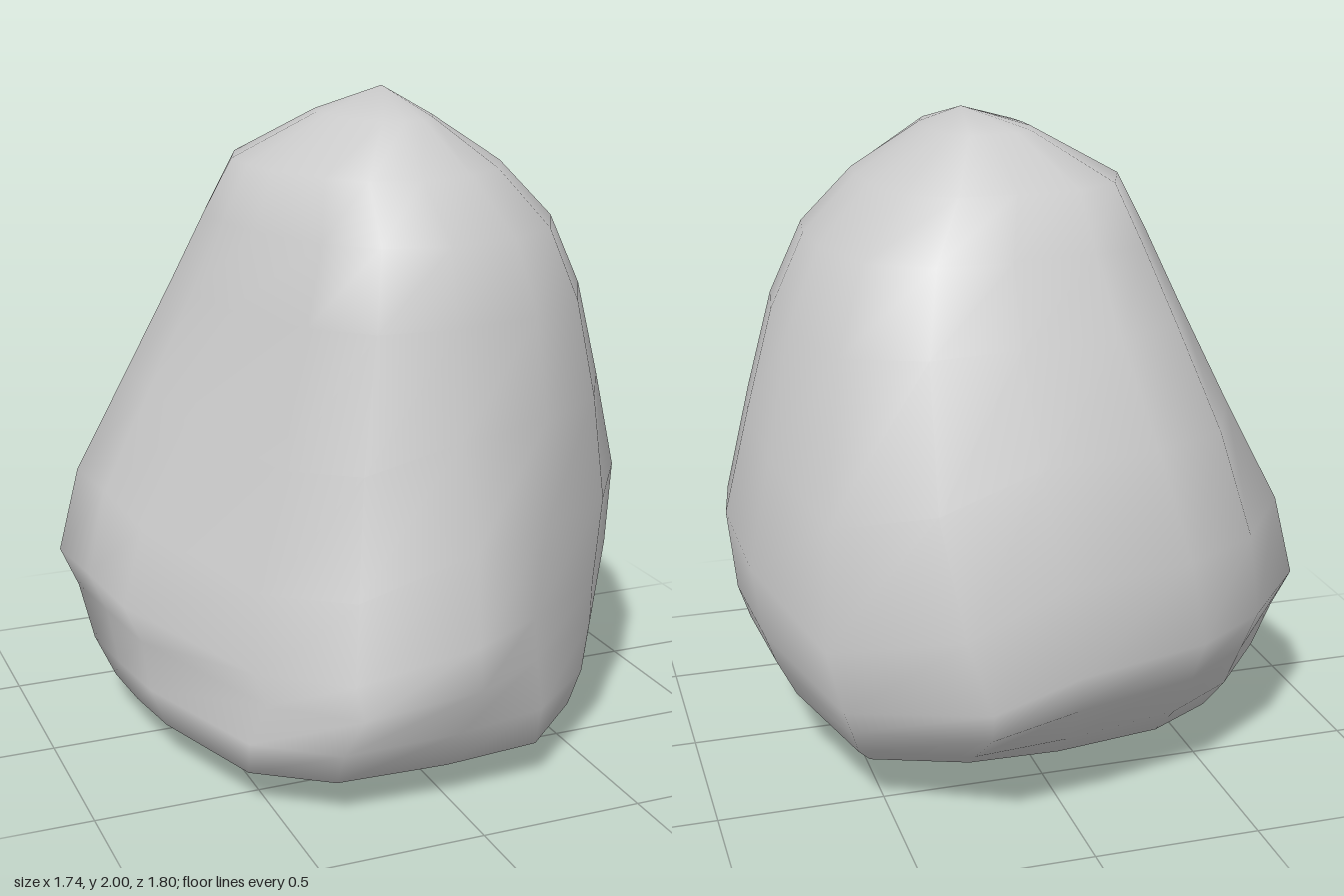
import * as THREE from 'three';

// Plan outlines, running from the back past +x to the front: [x, z]
const base = [[0.05, -0.9], [0.4, -0.89], [0.75, -0.76], [0.86, -0.3], [0.87, 0.02], [0.83, 0.3], [0.7, 0.63], [0.43, 0.88],
  [0.05, 0.9], [-0.38, 0.88], [-0.65, 0.68], [-0.81, 0.17], [-0.85, -0.1], [-0.87, -0.36], [-0.64, -0.65], [-0.37, -0.82]];
const broad = [[0.02, -0.9], [0.29, -0.9], [0.67, -0.65], [0.83, -0.23], [0.87, 0.02], [0.83, 0.25], [0.61, 0.56], [0.3, 0.76],
  [0.05, 0.9], [-0.31, 0.84], [-0.53, 0.6], [-0.79, 0.13], [-0.84, -0.1], [-0.87, -0.36], [-0.63, -0.64], [-0.39, -0.8]];
const upper = [[0.02, -0.9], [0.4, -0.9], [0.73, -0.74], [0.85, -0.3], [0.87, 0.0], [0.82, 0.3], [0.63, 0.63], [0.32, 0.84],
  [-0.06, 0.9], [-0.39, 0.82], [-0.6, 0.6], [-0.8, 0.2], [-0.86, -0.1], [-0.87, -0.38], [-0.72, -0.72], [-0.42, -0.86]];

// Sections from bottom to top: [y, xMin, xMax, zMin, zMax]
const sections = [
  [0.025, -0.55, 0.55, -0.43, 0.56],
  [0.13, -0.74, 0.64, -0.63, 0.77],
  [0.24, -0.79, 0.72, -0.74, 0.82],
  [0.40, -0.82, 0.80, -0.87, 0.905],
  [0.52, -0.87, 0.84, -0.90, 0.88],
  [0.78, -0.80, 0.87, -0.88, 0.82],
  [1.10, -0.64, 0.79, -0.77, 0.74],
  [1.40, -0.51, 0.70, -0.62, 0.68],
  [1.62, -0.42, 0.59, -0.50, 0.62],
  [1.79, -0.34, 0.43, -0.39, 0.49],
  [1.93, -0.09, 0.22, -0.19, 0.28],
];

function rockGeometry() {
  const { lerp, smoothstep, clamp } = THREE.MathUtils;
  const n = broad.length;
  const pos = [];
  const index = [];
  for (const [y, x0, x1, z0, z1] of sections) {
    const low = 1 - smoothstep(y, 0.1, 0.45);
    const high = smoothstep(y, 0.5, 1.3);
    const tilt = 0.025 * Math.max(0, 1 - y / 0.3);
    const sag = 0.35 * Math.sin(Math.PI * clamp((y - 0.18) / 1.25, 0, 1));
    for (let i = 0; i < n; i++) {
      const [u, v] = [0, 1].map((k) =>
        lerp(lerp(broad[i][k], base[i][k], low), upper[i][k], high) / (k ? 0.9 : 0.87));
      // The underside leans slightly, and two opposite corners bulge lower down
      const shift = tilt * clamp(u - v, -1, 1) - sag * Math.max(0, -u * v);
      pos.push((x0 + x1) / 2 + u * (x1 - x0) / 2, y + shift, (z0 + z1) / 2 + v * (z1 - z0) / 2);
    }
  }
  const rings = sections.length;
  const top = rings * n;
  const bottom = top + 1;
  pos.push(0.13, 2, -0.07, -0.03, 0.015, 0.1);
  for (let i = 0; i < n; i++) {
    const j = (i + 1) % n;
    for (let r = 0; r < rings - 1; r++) {
      const a = r * n + i, b = r * n + j;
      index.push(a, a + n, b, b, a + n, b + n);
    }
    index.push((rings - 1) * n + i, top, (rings - 1) * n + j);
    index.push(i, j, bottom);
  }
  const geometry = new THREE.BufferGeometry();
  geometry.setAttribute('position', new THREE.Float32BufferAttribute(pos, 3));
  geometry.setIndex(index);
  geometry.computeVertexNormals();
  return geometry;
}

export function createModel() {
  const group = new THREE.Group();
  group.name = 'boulder';
  const rock = new THREE.Mesh(rockGeometry(), new THREE.MeshStandardMaterial({ color: 0xcccccc }));
  rock.name = 'rock';
  group.add(rock);
  return group;
}
